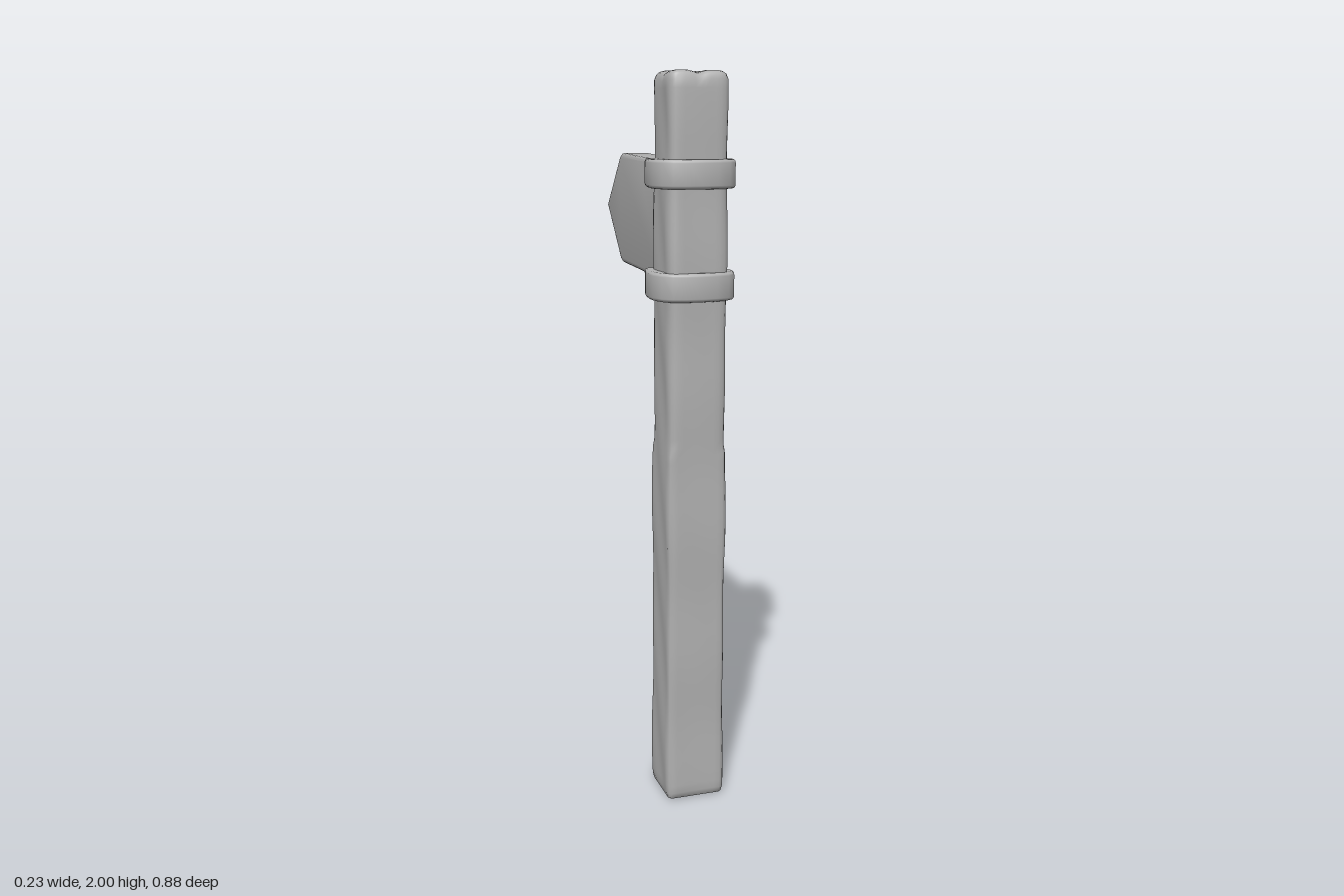
import * as THREE from 'three';
import { mergeVertices, toCreasedNormals } from 'three/addons/utils/BufferGeometryUtils.js';

const stone = new THREE.MeshStandardMaterial({ color: 0xb0b0b0 });
stone.name = 'plain grey';

function add(group, name, geometry) {
  const mesh = new THREE.Mesh(geometry, stone);
  mesh.name = name;
  group.add(mesh);
  return mesh;
}

// Bevelled slab whose outline stays within the given points
function slab(points, depth, bevel) {
  const shape = new THREE.Shape(points.map(([x, y]) => new THREE.Vector2(x, y)));
  const g = new THREE.ExtrudeGeometry(shape, {
    depth: depth - 2 * bevel, bevelEnabled: true, bevelThickness: bevel,
    bevelSize: bevel, bevelOffset: -bevel, bevelSegments: 3,
  });
  g.translate(0, 0, bevel);
  return g;
}

// Slab drawn as [z, y] and extruded along x from x0 to x1
function sideSlab(points, x0, x1, bevel) {
  const g = slab(points.map(([z, y]) => [-z, y]), x1 - x0, bevel);
  g.rotateY(Math.PI / 2).translate(x0, 0, 0);
  return toCreasedNormals(g, 0.6);
}

// Rounded square timber with gentle hewn dents and a worn top
function postGeometry() {
  let g = new THREE.BoxGeometry(0.166, 2, 0.16, 12, 90, 12);
  g.deleteAttribute('normal');
  g.deleteAttribute('uv');
  g = mergeVertices(g);
  const p = g.attributes.position;
  const half = new THREE.Vector3(0.083, 1, 0.08);
  const v = new THREE.Vector3(), core = new THREE.Vector3(), out = new THREE.Vector3();
  for (let i = 0; i < p.count; i++) {
    v.fromBufferAttribute(p, i);
    const r = v.y > 0 ? 0.028 : 0.016;
    const inner = half.clone().subScalar(r);
    core.copy(v).clamp(inner.clone().negate(), inner);
    out.copy(v).sub(core).normalize();
    // grain runs along y, so dents are long and narrow
    const dent = 0.0015 * (Math.sin(9 * v.y + 40 * v.x) + Math.sin(17 * v.y + 55 * v.z + 1));
    const top = v.y > 0.97;
    v.copy(core).addScaledVector(out, r + (Math.abs(out.y) > 0.5 ? 0 : dent - 0.001));
    // shallow crossed grooves on the top
    if (top) v.y -= 0.008 * Math.exp(-((v.x / 0.015) ** 2)) + 0.006 * Math.exp(-((v.z / 0.012) ** 2));
    p.setXYZ(i, v.x - 0.005, v.y + 1, v.z + 0.341);
  }
  g.computeVertexNormals();
  return g;
}

// Strap outline seen from above, as [x, z]
const strapOutline = [
  [-0.10, 0.244], [-0.111, 0.285], [-0.118, 0.33], [-0.117, 0.37], [-0.104, 0.405],
  [-0.08, 0.425], [-0.045, 0.435], [0, 0.439], [0.04, 0.435], [0.075, 0.425],
  [0.097, 0.404], [0.108, 0.37], [0.109, 0.33], [0.102, 0.28], [0.093, 0.24],
  [-0.03, 0.24],
];

export function createModel() {
  const model = new THREE.Group();
  model.name = 'signpost';

  add(model, 'post', postGeometry());

  // Arrow board pointing backwards
  add(model, 'arrowBoard', sideSlab([
    [0.28, 1.76], [0.28, 1.43], [0.1, 1.435], [-0.27, 1.447], [-0.292, 1.455],
    [-0.44, 1.615], [-0.298, 1.768], [-0.28, 1.777], [-0.1, 1.771], [0.1, 1.766],
  ], -0.012, 0.08, 0.011));

  // Two straps, mirrored about the middle of the board
  const middle = 1.595;
  for (const [side, label] of [[1, 'upper'], [-1, 'lower']]) {
    const strap = new THREE.Group();
    strap.name = label + 'Strap';
    model.add(strap);

    const band = slab(strapOutline.map(([x, z]) => [x, -z]), 0.075, 0.009);
    band.rotateX(-Math.PI / 2).translate(0, middle + side * 0.145 - 0.0375, 0);
    add(strap, 'band', toCreasedNormals(band, 0.7));

    // Tapering ears that clasp the board
    const ear = [[0.265, 0.18], [0.232, 0.17], [0.19, 0.137], [0.165, 0.115],
      [0.17, 0.09], [0.2, 0.078], [0.225, 0.095], [0.265, 0.108]];
    const points = ear.map(([z, y]) => [z, middle + side * y]);
    add(strap, 'ears', sideSlab(points, -0.031, 0.095, 0.006));

    // Domed bolt heads on both faces
    for (const [x, end] of [[-0.03, 'right'], [0.09, 'left']]) {
      const bolt = add(strap, end + 'Bolt', new THREE.SphereGeometry(0.027, 20, 14));
      bolt.position.set(x, middle + side * 0.107, 0.2);
    }
  }
  return model;
}
